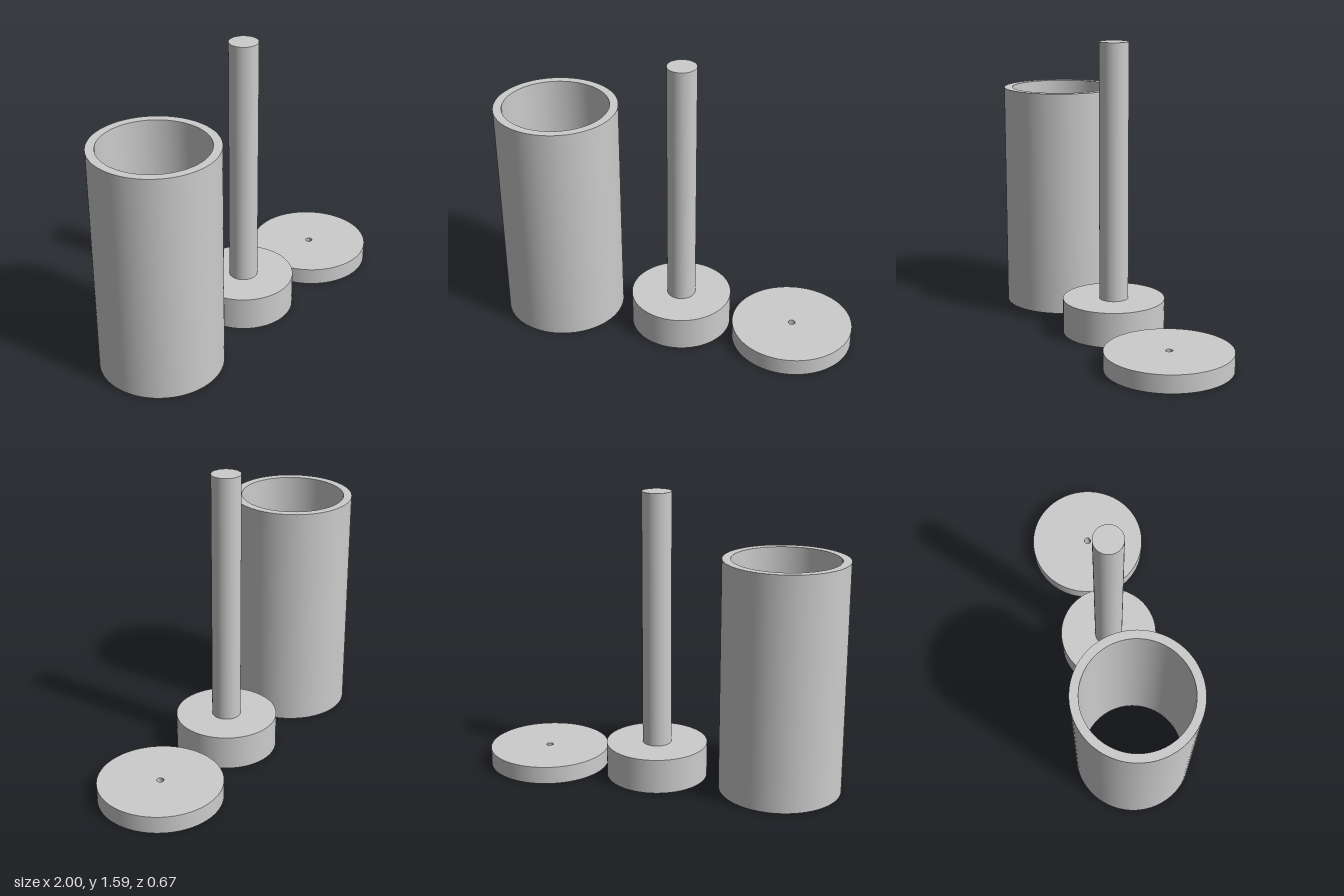
import * as THREE from 'three';
import { toCreasedNormals } from 'three/addons/utils/BufferGeometryUtils.js';

const SIDES = 96;

// Upright ring with a through hole, standing on y = 0
function ringGeometry(outer, inner, height) {
  const profile = [
    [inner, 0], [outer, 0], [outer, height], [inner, height], [inner, 0],
  ].map(([r, y]) => new THREE.Vector2(r, y));
  return toCreasedNormals(new THREE.LatheGeometry(profile, SIDES), 0.6);
}

// Solid upright cylinder between two heights
function solidGeometry(radius, bottom, top) {
  const geometry = new THREE.CylinderGeometry(radius, radius, top - bottom, SIDES);
  return geometry.translate(0, (bottom + top) / 2, 0);
}

export function createModel() {
  const model = new THREE.Group();
  const grey = new THREE.MeshStandardMaterial({ color: 0xcccccc });
  grey.name = 'lightGrey';

  const add = (parent, name, geometry, x = 0) => {
    const mesh = new THREE.Mesh(geometry, grey);
    mesh.name = name;
    mesh.position.x = x;
    parent.add(mesh);
  };

  // Open tube
  add(model, 'tube', ringGeometry(0.333, 0.287, 1.272), -0.667);

  // Plunger: piston disc with a rod
  const plunger = new THREE.Group();
  plunger.name = 'plunger';
  plunger.position.x = 0.028;
  add(plunger, 'piston', solidGeometry(0.278, 0, 0.191));
  add(plunger, 'rod', solidGeometry(0.079, 0.191, 1.59));
  model.add(plunger);

  // End cap with a small centre hole
  add(model, 'endCap', ringGeometry(0.333, 0.019, 0.096), 0.667);

  return model;
}
